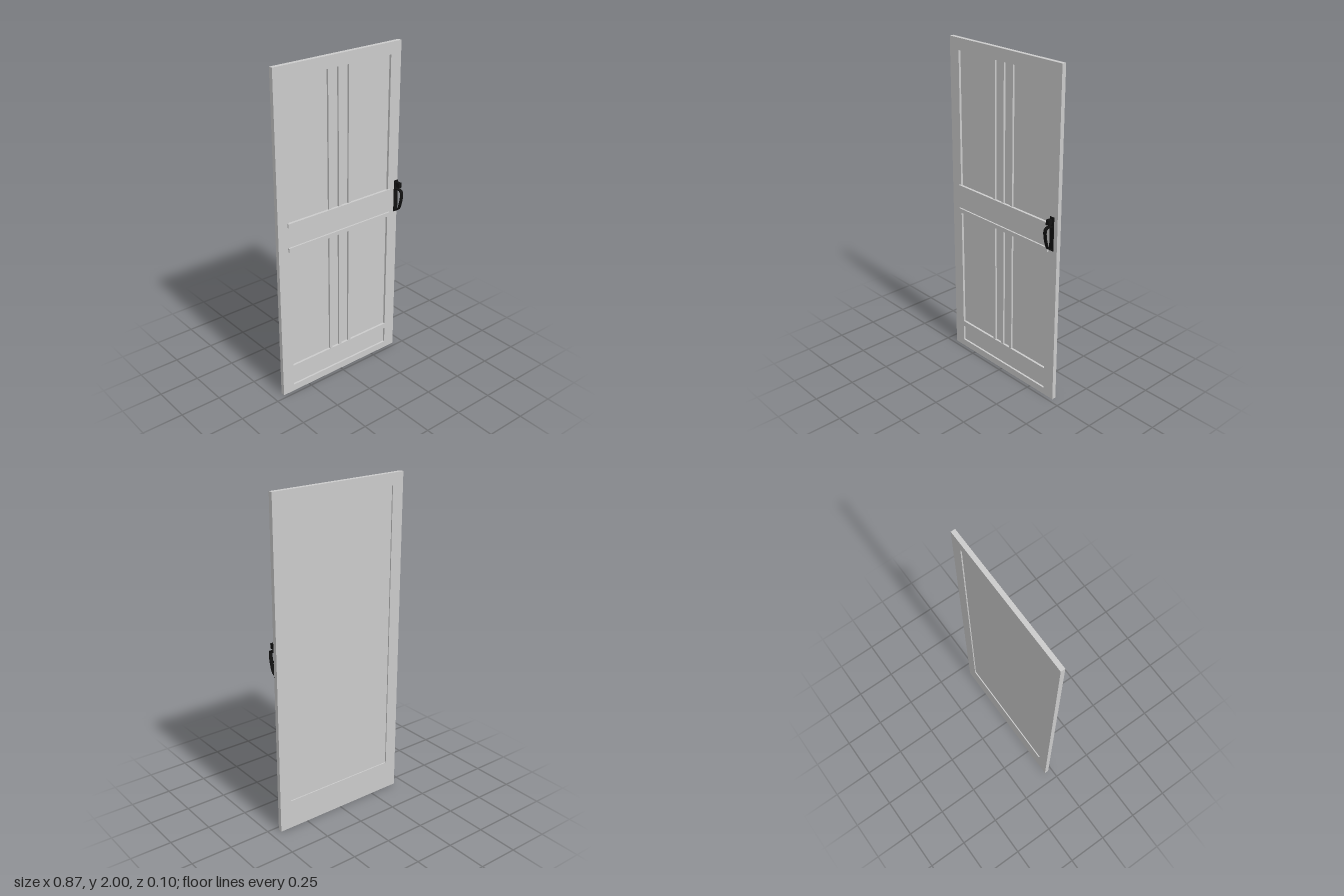
import * as THREE from 'three';

export function createModel() {
  const door = new THREE.Group();
  door.name = 'screenDoor';
  const grey = new THREE.MeshStandardMaterial({ color: 0xcccccc });
  const black = new THREE.MeshStandardMaterial({ color: 0x111111 });

  // Box given by its min and max along each axis
  function box(name, [x0, x1], [y0, y1], [z0, z1], material = grey, parent = door) {
    const mesh = new THREE.Mesh(new THREE.BoxGeometry(x1 - x0, y1 - y0, z1 - z0), material);
    mesh.position.set((x0 + x1) / 2, (y0 + y1) / 2, (z0 + z1) / 2);
    mesh.name = name;
    parent.add(mesh);
    return mesh;
  }

  const halfW = 0.437, openW = 0.363;
  const back = -0.05, front = -0.024, split = -0.036;
  const rect = (Type, w, y0, y1) => new Type([[-w, y0], [w, y0], [w, y1], [-w, y1]]
    .map(([x, y]) => new THREE.Vector2(x, y)));

  // Frame in two layers: the kick panel recess is cut only in the front one
  function frameLayer(name, z0, z1, holes) {
    const shape = rect(THREE.Shape, halfW, 0, 2);
    holes.forEach(([y0, y1]) => shape.holes.push(rect(THREE.Path, openW, y0, y1)));
    const mesh = new THREE.Mesh(
      new THREE.ExtrudeGeometry(shape, { depth: z1 - z0, bevelEnabled: false }), grey);
    mesh.position.z = z0;
    mesh.name = name;
    door.add(mesh);
  }
  const opening = [0.18, 1.93];
  frameLayer('frameBack', back, split, [opening]);
  frameLayer('frameFront', split, front, [opening, [0.043, 0.145]]);

  // Screen set inside the opening
  box('screen', [-openW, openW], opening, [-0.043, -0.038]);

  // Upright bars in front of the screen
  [-0.072, -0.001, 0.07].forEach((x) =>
    box('uprightBar', [x - 0.009, x + 0.009], opening, [-0.038, -0.026]));

  // Middle rail with a raised moulding along each edge
  box('middleRail', [-openW, openW], [0.95, 1.115], [-0.038, front]);
  [[0.945, 0.97], [1.095, 1.12]].forEach((y) =>
    box('railMoulding', [-0.373, 0.373], y, [front, -0.014]));

  // Handle: back plate, thumb latch and a curved flat grip
  const handle = new THREE.Group();
  handle.name = 'handle';
  door.add(handle);
  box('handlePlate', [0.397, 0.425], [0.97, 1.17], [-0.01, -0.005], black, handle);
  box('latchStem', [0.405, 0.417], [1.138, 1.155], [-0.005, 0.012], black, handle);
  box('thumbLatch', [0.401, 0.421], [1.132, 1.162], [0.004, 0.03], black, handle);

  const path = new THREE.SplineCurve([
    [-0.006, 1.115], [0.025, 1.118], [0.041, 1.108], [0.044, 1.085],
    [0.038, 1.045], [0.025, 1.002], [0.012, 0.986], [-0.006, 0.978],
  ].map(([z, y]) => new THREE.Vector2(z, y)));
  const outer = [], inner = [];
  for (let i = 0; i <= 32; i++) {
    const p = path.getPoint(i / 32), t = path.getTangent(i / 32);
    const n = new THREE.Vector2(-t.y, t.x).multiplyScalar(0.0032);
    outer.push(p.clone().add(n));
    inner.push(p.clone().sub(n));
  }
  const grip = new THREE.Mesh(new THREE.ExtrudeGeometry(
    new THREE.Shape([...outer, ...inner.reverse()]),
    { depth: 0.02, bevelEnabled: false }), black);
  grip.rotation.y = -Math.PI / 2;
  grip.position.x = 0.421;
  grip.name = 'grip';
  handle.add(grip);

  return door;
}
